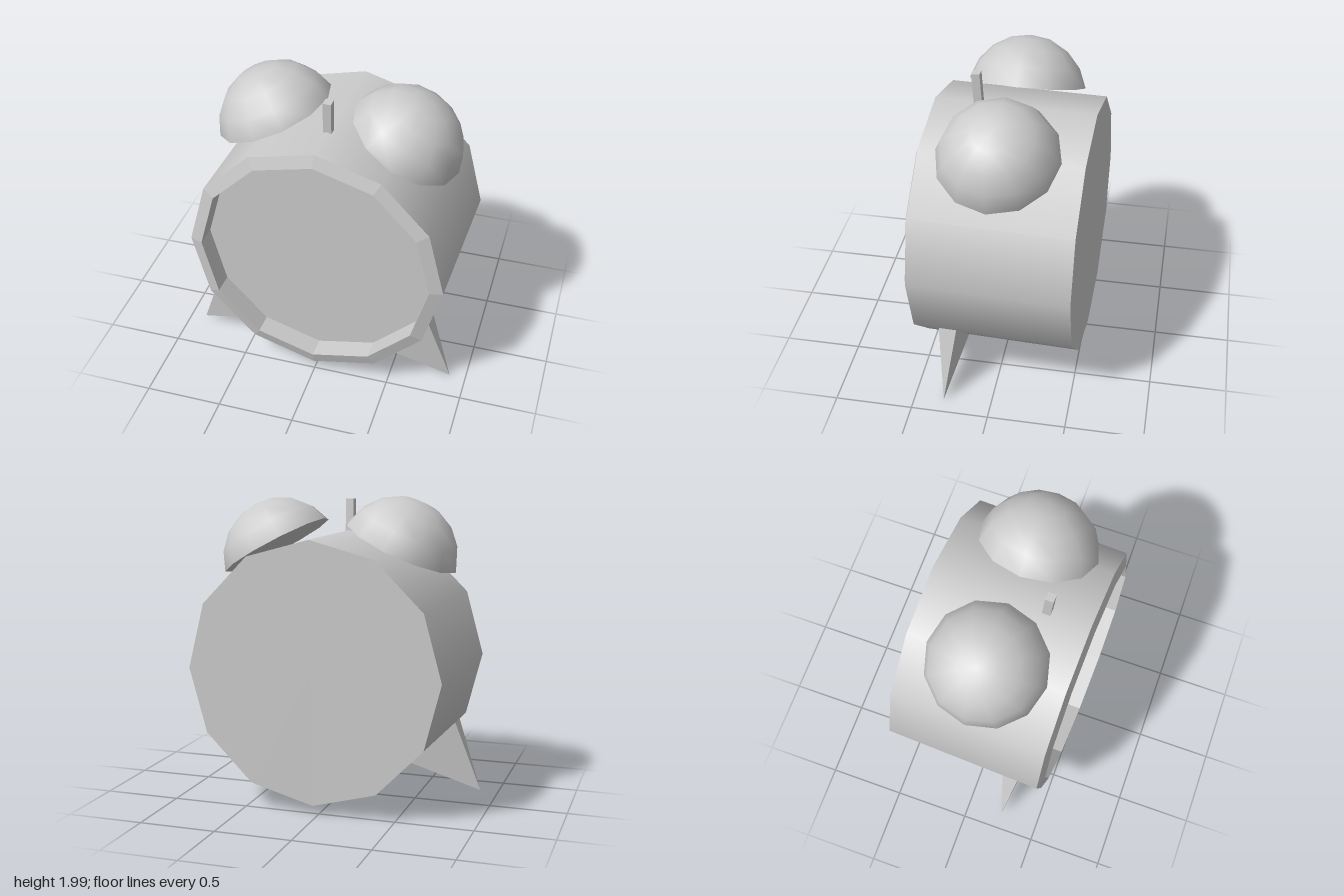
import * as THREE from 'three';

const SIDES = 12;
const R = 0.843;      // case radius
const RIM = 0.76;     // inner rim radius
const HALF = 0.514;   // half case depth
const BEVEL = 0.025;  // how far the rim stands forward
const RECESS = 0.14;  // depth of the dial below the rim

const smooth = new THREE.MeshStandardMaterial({ color: 0xcccccc, side: THREE.DoubleSide });
const flat = new THREE.MeshStandardMaterial({ color: 0xcccccc, side: THREE.DoubleSide, flatShading: true });

function part(name, geometry, material) {
  const mesh = new THREE.Mesh(geometry, material);
  mesh.name = name;
  return mesh;
}

// Open ring along z, from (rBack, zBack) to (rFront, zFront), with a corner at the top
function ring(rBack, zBack, rFront, zFront) {
  return new THREE.CylinderGeometry(rFront, rBack, zFront - zBack, SIDES, 1, true)
    .rotateX(Math.PI / 2).translate(0, 0, (zFront + zBack) / 2);
}

// Domed bell: a spherical cap closed by a flat disc, its rim centred on the origin
function bell() {
  const group = new THREE.Group();
  group.name = 'bell';
  const r = 0.386, h = 0.31;
  const sphereR = (r * r + h * h) / (2 * h);
  const dome = new THREE.SphereGeometry(sphereR, SIDES, 4, 0, Math.PI * 2, 0, Math.asin(r / sphereR))
    .translate(0, h - sphereR, 0);
  group.add(part('bellDome', dome, smooth));
  group.add(part('bellUnderside', new THREE.CircleGeometry(r, SIDES).rotateX(Math.PI / 2), flat));
  return group;
}

export function createModel() {
  const model = new THREE.Group();
  model.name = 'alarmClock';
  const clock = new THREE.Group();
  clock.name = 'clock';
  clock.position.set(0.0225, 0.91, -0.014);
  clock.rotation.set(0, -0.039, -0.011);
  model.add(clock);

  // Case, bevelled rim and recessed dial
  const front = HALF + BEVEL;
  clock.add(part('caseSide', ring(R, -HALF, R, HALF), smooth));
  clock.add(part('rim', ring(R, HALF, RIM, front), flat));
  clock.add(part('recessWall', ring(RIM, front - RECESS, RIM, front), flat));
  clock.add(part('dial', new THREE.CircleGeometry(RIM, SIDES).translate(0, 0, front - RECESS), flat));
  clock.add(part('caseBack', new THREE.CircleGeometry(R, SIDES).rotateY(Math.PI).translate(0, 0, -HALF), flat));

  // Two bells leaning outwards, at slightly uneven heights and angles
  for (const [x, y, tilt] of [[-0.432, 0.766, 0.432], [0.438, 0.75, -0.503]]) {
    const b = bell();
    b.position.set(x, y, 0.013);
    b.rotation.z = tilt;
    clock.add(b);
  }

  // Hammer standing between the bells, leaning forward a little
  const hammer = part('hammer', new THREE.BoxGeometry(0.053, 0.3, 0.053), flat);
  hammer.position.set(-0.002, 0.9, 0.237);
  hammer.rotation.x = 0.06;
  clock.add(hammer);

  // Four-sided pointed feet on the lower diagonal facets
  const base = R * Math.cos(Math.PI / SIDES), length = 0.447;
  for (const side of [-1, 1]) {
    const geometry = new THREE.ConeGeometry(Math.SQRT1_2, 1, 4)
      .rotateY(Math.PI / 4)
      .scale(0.436, length, 0.115)
      .translate(0, base + length / 2, 0)
      .rotateZ(-side * Math.PI * 0.75)
      .translate(0, 0, 0.29);
    clock.add(part(side > 0 ? 'leftFoot' : 'rightFoot', geometry, flat));
  }

  return model;
}
